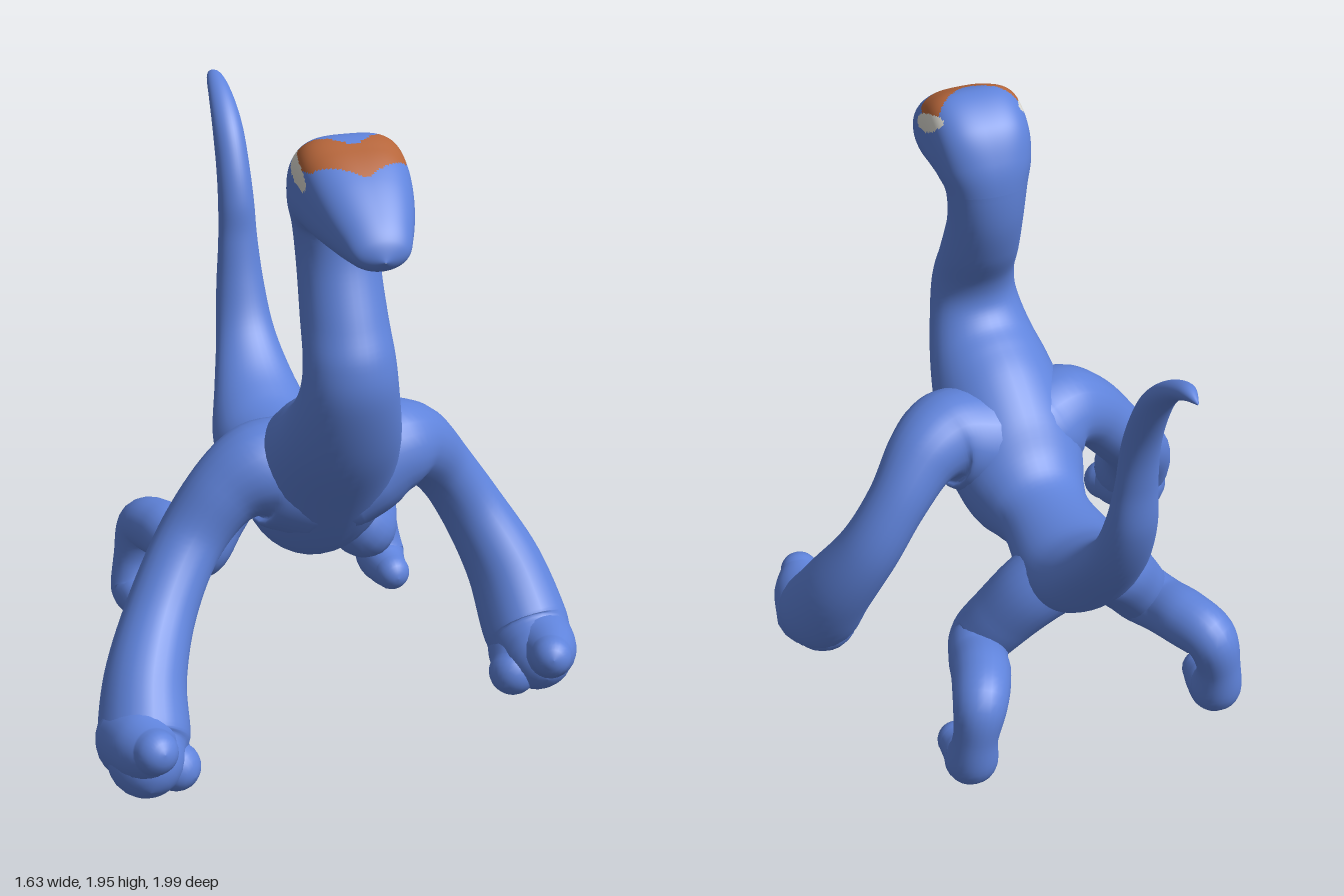
import * as THREE from 'three';

const blue = new THREE.MeshStandardMaterial({ color: 0x5f83db });
blue.name = 'blue skin';
const orange = new THREE.MeshStandardMaterial({ color: 0xb5653a });
orange.name = 'orange brow';
const white = new THREE.MeshStandardMaterial({ color: 0xdcdad2 });
white.name = 'eye white';

// Smooth interpolation through rows of numbers, s counted in rows
function sample(rows, s) {
  const last = rows.length - 1;
  const i = Math.min(Math.floor(s), last - 1), f = s - i;
  const p = rows[Math.max(i - 1, 0)], a = rows[i], b = rows[i + 1], q = rows[Math.min(i + 2, last)];
  return a.map((v, k) => {
    const m0 = (b[k] - p[k]) / 2, m1 = (q[k] - v) / 2, d = b[k] - v;
    return v + f * (m0 + f * (3 * d - 2 * m0 - m1 + f * (m0 + m1 - 2 * d)));
  });
}

// Skin over closed rings; paint(centre) picks a material slot per quad
function skin(name, rings, materials, paint) {
  const n = rings[0].length;
  const slots = [[], [], []];
  for (let i = 0; i < rings.length - 1; i++) {
    for (let j = 0; j < n; j++) {
      const k = (j + 1) % n;
      const a = i * n + j, b = i * n + k, c = a + n, d = b + n;
      const mid = rings[i][j].clone().add(rings[i + 1][k]).multiplyScalar(0.5);
      slots[paint ? paint(mid) : 0].push(a, b, d, a, d, c);
    }
  }
  const geo = new THREE.BufferGeometry().setFromPoints(rings.flat());
  geo.setIndex(slots.flat());
  geo.computeVertexNormals();
  if (paint) {
    let start = 0;
    slots.forEach((s, m) => { geo.addGroup(start, s.length, m); start += s.length; });
  }
  const mesh = new THREE.Mesh(geo, materials);
  mesh.name = name;
  return mesh;
}

// Trunk sections: back z, back y, belly z, belly y, half width, squareness
const tail = [
  [-1.0, 1.719, -1.0, 1.715, 0.002, 2], [-0.93, 1.74, -0.94, 1.695, 0.027, 2],
  [-0.82, 1.69, -0.87, 1.65, 0.042, 2], [-0.72, 1.6, -0.8, 1.57, 0.052, 2],
  [-0.65, 1.48, -0.74, 1.45, 0.057, 2], [-0.61, 1.36, -0.705, 1.34, 0.062, 2],
  [-0.595, 1.24, -0.685, 1.21, 0.068, 2], [-0.56, 1.1, -0.67, 1.04, 0.083, 2],
  [-0.505, 0.97, -0.6, 0.87, 0.102, 2], [-0.42, 0.875, -0.47, 0.68, 0.138, 2],
  [-0.32, 0.81, -0.32, 0.51, 0.178, 2],
];
const torso = [
  [-0.2, 0.77, -0.17, 0.49, 0.186, 2], [0, 0.775, 0, 0.52, 0.157, 2],
  [0.1, 0.83, 0.1, 0.5, 0.175, 2], [0.19, 0.94, 0.22, 0.475, 0.215, 2],
  [0.31, 1.045, 0.38, 0.53, 0.23, 2], [0.4, 1.1, 0.55, 0.76, 0.21, 2],
  [0.47, 1.14, 0.67, 0.95, 0.18, 2], [0.51, 1.2, 0.74, 1.15, 0.15, 2],
  [0.5, 1.28, 0.738, 1.28, 0.138, 2], [0.435, 1.4, 0.69, 1.39, 0.13, 2],
  [0.39, 1.535, 0.62, 1.54, 0.125, 2],
];
const head = [
  [0.38, 1.67, 0.597, 1.63, 0.133, 2.1], [0.4, 1.775, 0.6, 1.655, 0.15, 2.4],
  [0.46, 1.88, 0.615, 1.662, 0.16, 2.9], [0.57, 1.945, 0.64, 1.663, 0.162, 3.2],
  [0.67, 1.925, 0.7, 1.66, 0.157, 3], [0.77, 1.872, 0.775, 1.652, 0.138, 2.6],
  [0.86, 1.8, 0.85, 1.645, 0.107, 2.3], [0.915, 1.74, 0.905, 1.648, 0.074, 2],
  [0.936, 1.684, 0.936, 1.682, 0.001, 2],
];
const trunk = [...tail, ...torso, ...head];

function trunkRings(from, to, steps, sides) {
  return Array.from({ length: steps + 1 }, (_, i) => {
    const [az, ay, bz, by, w, n] = sample(trunk, from + (to - from) * i / steps);
    return Array.from({ length: sides }, (_, j) => {
      const t = j / sides * Math.PI * 2;
      const bend = v => Math.sign(v) * Math.abs(v) ** (2 / n);
      const s = bend(Math.sin(t)) / 2;
      return new THREE.Vector3(w * bend(Math.cos(t)), (ay + by) / 2 + (ay - by) * s, (az + bz) / 2 + (az - bz) * s);
    });
  });
}

// Brow band and eye patches on the head
function paintHead({ x, y, z }) {
  const ax = Math.abs(x);
  const along = ((z - 0.603) * -0.94 + (y - 1.858) * 0.34) / 0.09;
  const across = ((z - 0.603) * 0.34 + (y - 1.858) * 0.94) / 0.029;
  if (ax > 0.09 && along * along + across * across < 1) return 2;
  return y > 1.872 && z > 0.65 - 0.75 * ax && z < 0.765 - 0.55 * ax ? 1 : 0;
}

// Limb through rows of x, y, z, radius with rounded ends
function limb(name, rows, mirror = 1, sides = 24) {
  const steps = (rows.length - 1) * 7;
  const pts = Array.from({ length: steps + 1 }, (_, i) => sample(rows, i * (rows.length - 1) / steps));
  const at = i => new THREE.Vector3(pts[i][0] * mirror, pts[i][1], pts[i][2]);
  const rings = [];
  let side = new THREE.Vector3(0, 0, 1);
  pts.forEach((p, i) => {
    const dir = at(Math.min(i + 1, steps)).sub(at(Math.max(i - 1, 0))).normalize();
    side = side.clone().addScaledVector(dir, -side.dot(dir)).normalize();
    const up = dir.clone().cross(side);
    const ring = (shift, r) => rings.push(Array.from({ length: sides }, (_, j) => {
      const t = j / sides * Math.PI * 2;
      return at(i).addScaledVector(dir, shift)
        .addScaledVector(side, r * Math.cos(t)).addScaledVector(up, r * Math.sin(t));
    }));
    const cap = k => ring(p[3] * Math.sin(k * Math.PI / 12), p[3] * Math.max(Math.cos(k * Math.PI / 12), 0.001));
    if (i === 0) for (let k = -6; k < 0; k++) cap(k);
    ring(0, p[3]);
    if (i === steps) for (let k = 1; k <= 6; k++) cap(k);
  });
  return skin(name, rings, blue);
}

export function createModel() {
  const model = new THREE.Group();
  model.name = 'longNeckedCreature';
  const neckEnd = tail.length + torso.length;
  model.add(skin('tailBodyAndNeck', trunkRings(0, neckEnd, 130, 36), blue));
  model.add(skin('head', trunkRings(neckEnd, trunk.length - 1, 130, 140), [blue, orange, white], paintHead));

  // Front legs, the right one reaching further forward
  const leftFront = new THREE.Group();
  leftFront.name = 'leftFrontLeg';
  leftFront.add(
    limb('leg', [[0.05, 0.78, 0.33, 0.19], [0.14, 0.815, 0.33, 0.182], [0.235, 0.845, 0.325, 0.156], [0.33, 0.82, 0.285, 0.123],
      [0.44, 0.705, 0.235, 0.101], [0.545, 0.545, 0.235, 0.105], [0.635, 0.36, 0.315, 0.125],
      [0.672, 0.19, 0.43, 0.14], [0.672, 0.145, 0.53, 0.117]]),
    limb('toe', [[0.69, 0.16, 0.47, 0.125], [0.688, 0.175, 0.57, 0.1], [0.67, 0.198, 0.65, 0.066]]),
    limb('thumb', [[0.66, 0.14, 0.44, 0.12], [0.615, 0.115, 0.51, 0.095], [0.585, 0.1, 0.545, 0.076]]));
  const rightFront = new THREE.Group();
  rightFront.name = 'rightFrontLeg';
  rightFront.add(
    limb('leg', [[-0.05, 0.78, 0.33, 0.19], [-0.13, 0.805, 0.34, 0.18], [-0.22, 0.825, 0.355, 0.15], [-0.325, 0.77, 0.37, 0.118],
      [-0.44, 0.635, 0.4, 0.106], [-0.555, 0.475, 0.51, 0.11], [-0.64, 0.33, 0.65, 0.125],
      [-0.672, 0.2, 0.76, 0.138], [-0.68, 0.16, 0.82, 0.117]]),
    limb('toe', [[-0.69, 0.2, 0.77, 0.13], [-0.69, 0.22, 0.86, 0.102], [-0.675, 0.243, 0.925, 0.068]]),
    limb('thumb', [[-0.67, 0.15, 0.73, 0.12], [-0.615, 0.125, 0.79, 0.095], [-0.59, 0.117, 0.82, 0.074]]));
  model.add(leftFront, rightFront);

  // Folded hind legs
  const hind = [[0.05, 0.61, -0.21, 0.125], [0.14, 0.55, -0.19, 0.122], [0.225, 0.44, -0.145, 0.112], [0.29, 0.345, -0.113, 0.105],
    [0.335, 0.33, -0.19, 0.097], [0.365, 0.34, -0.29, 0.097], [0.41, 0.315, -0.39, 0.089], [0.437, 0.2, -0.41, 0.073],
    [0.443, 0.092, -0.385, 0.086], [0.443, 0.076, -0.32, 0.073], [0.448, 0.074, -0.265, 0.062]];
  model.add(limb('leftHindLeg', hind), limb('rightHindLeg', hind, -1));
  return model;
}
